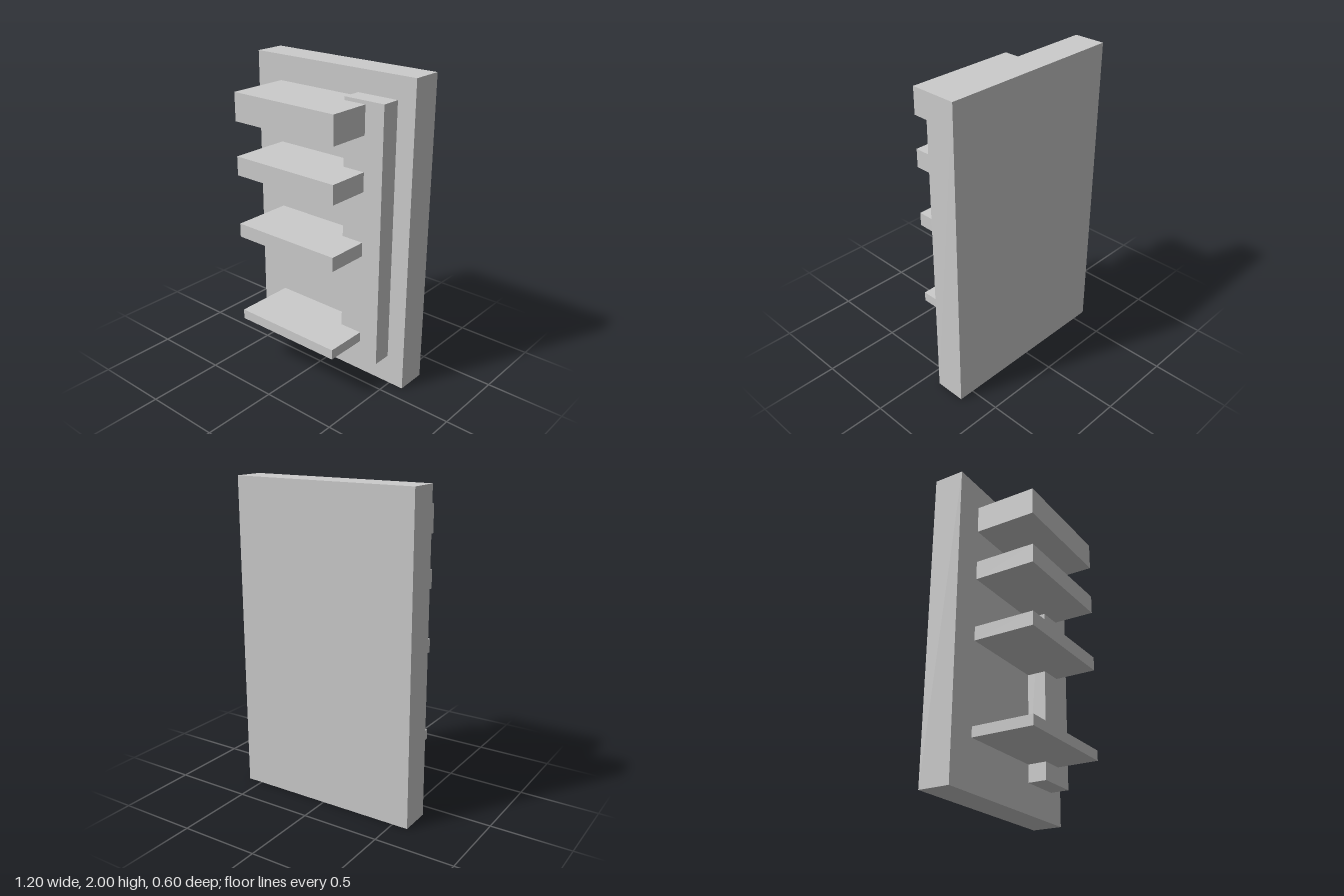
import * as THREE from 'three';

const material = new THREE.MeshStandardMaterial({ color: 0xcccccc, flatShading: true });

// Box given by its extents along each axis
function block(name, [x0, x1], [y0, y1], [z0, z1]) {
  const mesh = new THREE.Mesh(new THREE.BoxGeometry(x1 - x0, y1 - y0, z1 - z0), material);
  mesh.position.set((x0 + x1) / 2, (y0 + y1) / 2, (z0 + z1) / 2);
  mesh.name = name;
  return mesh;
}

export function createModel() {
  const model = new THREE.Group();
  model.name = 'wallPanelWithShelves';

  // Upright slab and the raised strip on its front
  model.add(block('backPanel', [-0.6, 0.6], [0, 2], [-0.3, -0.1]));
  model.add(block('verticalStrip', [0.2, 0.48], [0.195, 1.86], [-0.1, 0.025]));

  // Shelves, thicker towards the top
  const shelfHeights = [[0.31, 0.375], [0.905, 0.995], [1.318, 1.44], [1.66, 1.838]];
  shelfHeights.forEach((height, i) => {
    model.add(block(`shelf${i + 1}`, [-0.41, 0.35], height, [-0.1, 0.3]));
  });

  return model;
}
